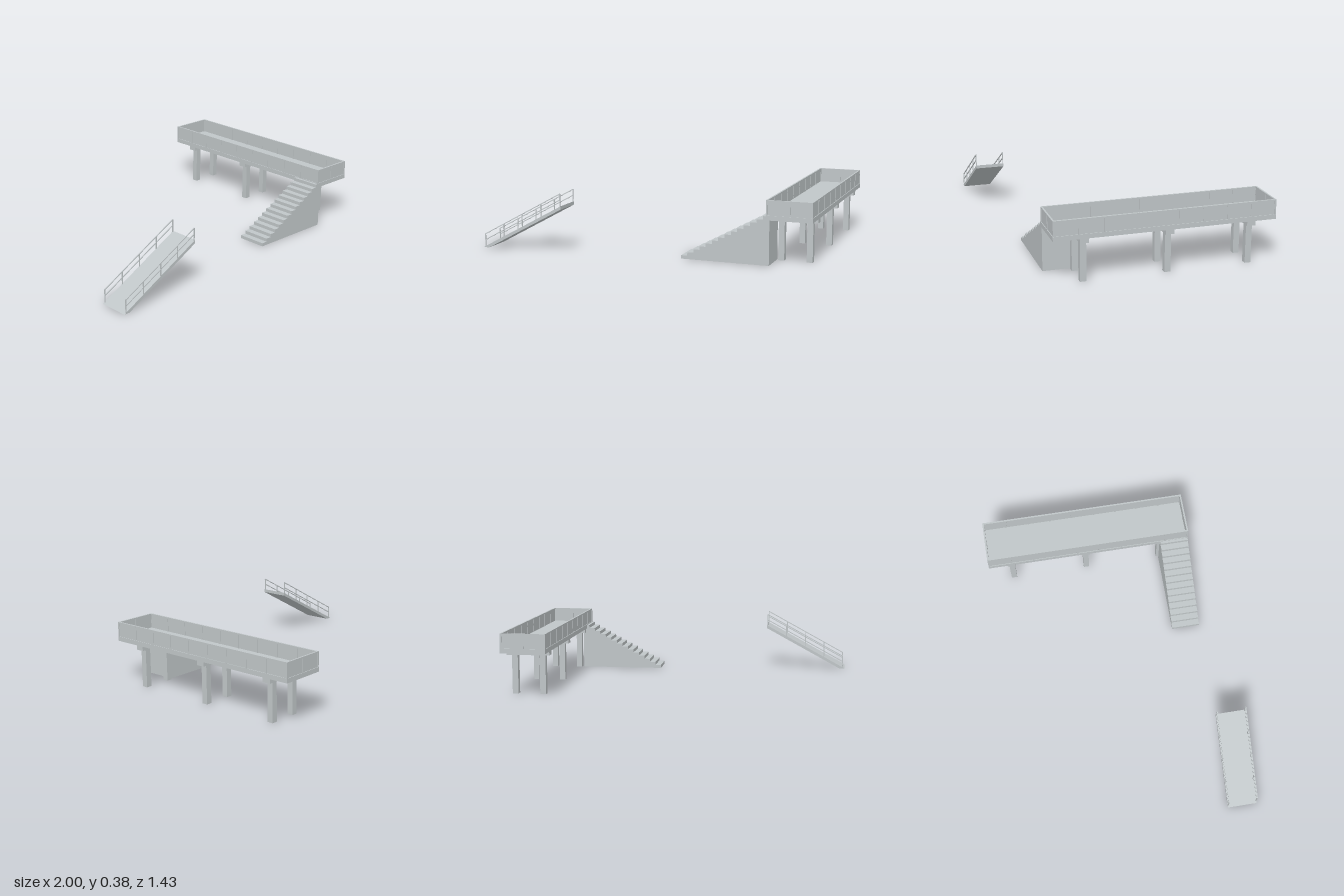
import * as THREE from 'three';

export function createModel() {
  const model = new THREE.Group();
  const concrete = new THREE.MeshStandardMaterial({ color: 0xc0c6c8, side: THREE.DoubleSide });
  concrete.name = 'pale grey concrete';

  const add = (parent, name, geometry, x = 0, y = 0, z = 0) => {
    const mesh = new THREE.Mesh(geometry, concrete);
    mesh.name = name;
    mesh.position.set(x, y, z);
    parent.add(mesh);
    return mesh;
  };
  // Box given by its limits on each axis
  const box = (parent, name, x0, x1, y0, y1, z0, z1) =>
    add(parent, name, new THREE.BoxGeometry(x1 - x0, y1 - y0, z1 - z0),
      (x0 + x1) / 2, (y0 + y1) / 2, (z0 + z1) / 2);
  const group = (name) => {
    const g = new THREE.Group();
    g.name = name;
    model.add(g);
    return g;
  };

  // Raised platform on three pairs of columns
  const platform = group('platform');
  const X0 = 0.73, X1 = 1, Z0 = -0.715, Z1 = 0.585, DECK = 0.287, TOP = 0.375;
  box(platform, 'deck', X0, X1, 0.26, DECK, Z0, Z1);
  for (const z of [0.408, -0.081, -0.567]) {
    box(platform, 'pierCap', X0 + 0.008, X1 - 0.005, 0.232, 0.26, z - 0.025, z + 0.025);
    for (const x of [0.781, 0.948]) {
      box(platform, 'column', x - 0.0175, x + 0.0175, 0, 0.232, z - 0.018, z + 0.018);
    }
  }

  // Parapet: thin panels, a top rail and regular posts
  const parapet = group('parapet');
  const px = [X0 + 0.006, X1 - 0.006], pz = [Z0 + 0.006, Z1 - 0.006];
  const t = 0.002, r = 0.005;
  for (const x of px) {
    box(parapet, 'sidePanel', x - t, x + t, DECK, TOP - 0.008, pz[0], pz[1]);
    box(parapet, 'sideTopRail', x - r, x + r, TOP - 0.008, TOP, pz[0] - r, pz[1] + r);
    for (let i = 0; i <= 9; i++) {
      const z = pz[0] + (pz[1] - pz[0]) * i / 9;
      box(parapet, 'sidePost', x - r, x + r, DECK, TOP - 0.008, z - r, z + r);
    }
  }
  for (const z of pz) {
    box(parapet, 'endPanel', px[0], px[1], DECK, TOP - 0.008, z - t, z + t);
    box(parapet, 'endTopRail', px[0] + r, px[1] - r, TOP - 0.008, TOP, z - r, z + r);
    const x = (px[0] + px[1]) / 2;
    box(parapet, 'endPost', x - r, x + r, DECK, TOP - 0.008, z - r, z + r);
  }

  // Stairs: hollow shell of treads and risers between two side walls
  const stairs = group('stairs');
  const STEPS = 14, RUN = 0.0375, RISE = 0.0202, SX = 0.227, SZ0 = 0.405, SZ1 = 0.584;
  const width = SZ1 - SZ0, midZ = (SZ0 + SZ1) / 2, endX = SX + STEPS * RUN;
  const side = new THREE.Shape();
  side.moveTo(SX, 0);
  for (let i = 0; i < STEPS; i++) {
    side.lineTo(SX + i * RUN, (i + 1) * RISE);
    side.lineTo(SX + (i + 1) * RUN, (i + 1) * RISE);
    add(stairs, 'tread', new THREE.PlaneGeometry(RUN, width).rotateX(-Math.PI / 2),
      SX + (i + 0.5) * RUN, (i + 1) * RISE, midZ);
    add(stairs, 'riser', new THREE.PlaneGeometry(width, RISE).rotateY(-Math.PI / 2),
      SX + i * RUN, (i + 0.5) * RISE, midZ);
  }
  side.lineTo(endX, 0);
  add(stairs, 'frontSideWall', new THREE.ShapeGeometry(side), 0, 0, SZ1);
  // Mirrored in x twice over so that this wall faces backwards
  const rear = new THREE.Shape(side.getPoints().map((p) => new THREE.Vector2(-p.x, p.y)));
  add(stairs, 'rearSideWall', new THREE.ShapeGeometry(rear).rotateY(Math.PI), 0, 0, SZ0);
  add(stairs, 'backWall', new THREE.PlaneGeometry(width, STEPS * RISE).rotateY(Math.PI / 2),
    endX, STEPS * RISE / 2, midZ);

  // Sloping ramp slab with a level foot
  const ramp = group('ramp');
  const RX0 = -1, RX1 = -0.476, RH = 0.285, RZ0 = 0.535, RZ1 = 0.715;
  const slope = RH / (RX1 - RX0);
  const profile = new THREE.Shape([[RX0, 0], [RX0 + 0.02 / slope, 0], [RX1, RH - 0.02], [RX1, RH]]
    .map(([x, y]) => new THREE.Vector2(x, y)));
  add(ramp, 'rampSlab',
    new THREE.ExtrudeGeometry(profile, { depth: RZ1 - RZ0, bevelEnabled: false }), 0, 0, RZ0);

  // Two railings with five posts and two sloping rails each
  const floor = (x) => (x - RX0) * slope;
  const a = -0.986, b = -0.482, h = 0.0025;
  for (const z of [RZ0 + h, RZ1 - h]) {
    for (let i = 0; i <= 4; i++) {
      const x = a + (b - a) * i / 4;
      box(ramp, 'railingPost', x - h, x + h, floor(x) - 0.004, floor(x) + 0.076, z - h, z + h);
    }
    for (const rise of [0.039, 0.075]) {
      const rail = add(ramp, 'railingBar',
        new THREE.BoxGeometry(Math.hypot(b - a, floor(b) - floor(a)) + h, 2 * h, 2 * h),
        (a + b) / 2, floor((a + b) / 2) + rise, z);
      rail.rotation.z = Math.atan(slope);
    }
  }
  return model;
}
